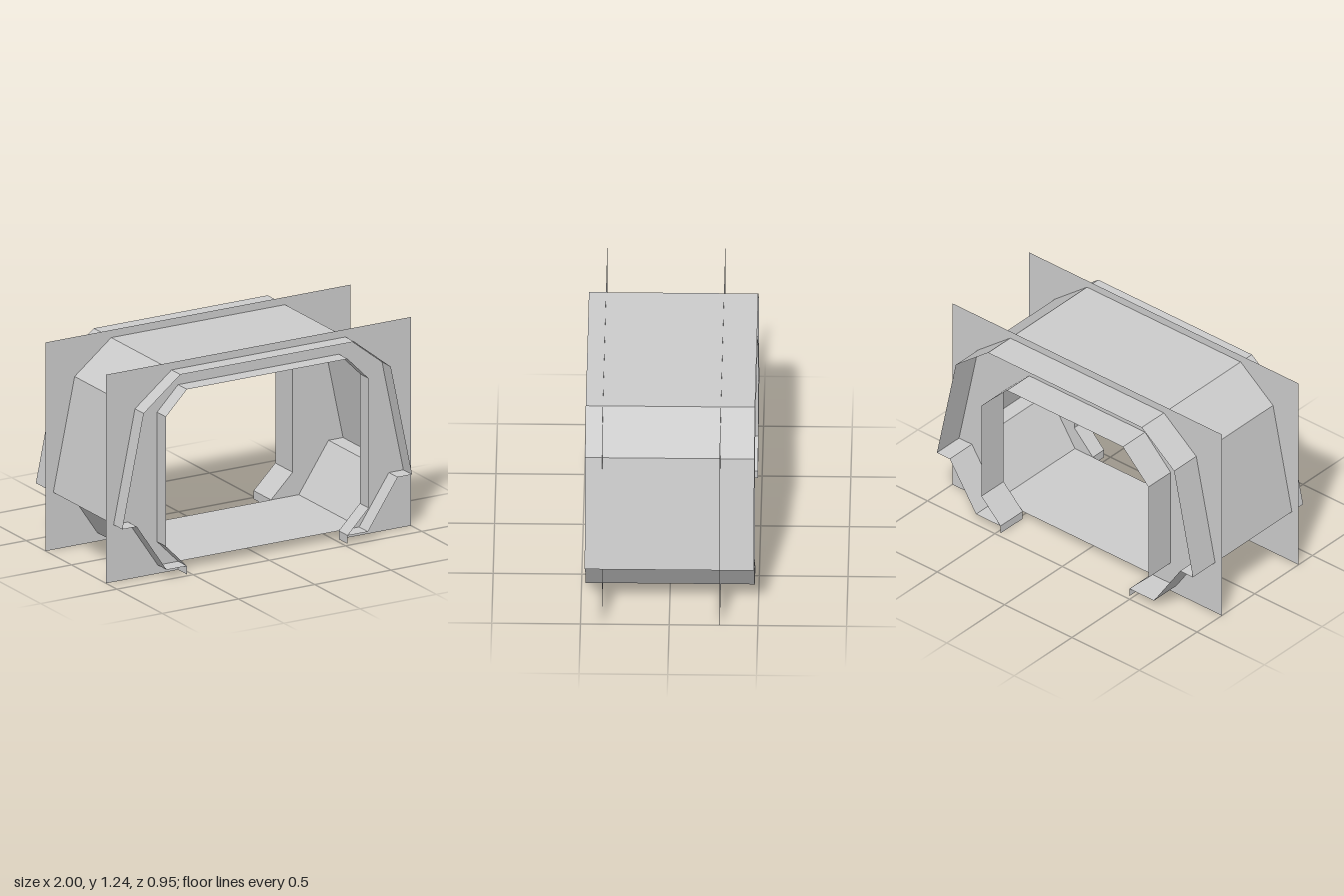
import * as THREE from 'three';

const material = new THREE.MeshStandardMaterial({ color: 0xcccccc, flatShading: true, side: THREE.DoubleSide });

// Mirror a right-hand half profile (listed bottom to top) into a full left-to-right arch
const arch = (half) => [...half.map(([x, y]) => [-x, y]), ...[...half].reverse()];

// Thin wall following an XY path between two depths
function wall(name, path, z0, z1, closed = false) {
  const pos = [];
  const n = closed ? path.length : path.length - 1;
  for (let i = 0; i < n; i++) {
    const [ax, ay] = path[i];
    const [bx, by] = path[(i + 1) % path.length];
    pos.push(ax, ay, z0, ax, ay, z1, bx, by, z1, ax, ay, z0, bx, by, z1, bx, by, z0);
  }
  const geo = new THREE.BufferGeometry();
  geo.setAttribute('position', new THREE.Float32BufferAttribute(pos, 3));
  geo.computeVertexNormals();
  const mesh = new THREE.Mesh(geo, material);
  mesh.name = name;
  return mesh;
}

// Flat rectangular bulkhead with an open-bottomed doorway
function bulkhead(name, doorway, z) {
  const outline = [[-1, 0], ...doorway, [1, 0], [1, 1.24], [-1, 1.24]];
  const shape = new THREE.Shape(outline.map(([x, y]) => new THREE.Vector2(x, y)));
  const mesh = new THREE.Mesh(new THREE.ShapeGeometry(shape), material);
  mesh.name = name;
  mesh.position.z = z;
  return mesh;
}

export function createModel() {
  const group = new THREE.Group();
  group.name = 'corridorSection';

  // Half profiles of the hull and the two doorways
  const hull = [[0.66, 0.05], [0.855, 0.34], [0.95, 0.34], [0.81, 1.005], [0.57, 1.195]];
  const frontDoor = [[0.527, 0], [0.527, 0.05], [0.665, 0.19], [0.665, 0.96], [0.527, 1.1]];
  const backDoor = [[0.478, 0], [0.478, 0.05], [0.62, 0.19], [0.62, 0.81], [0.43, 1.0]];

  const frontZ = 0.38, backZ = -0.285, endZ = 0.477;

  // Closed room between the bulkheads, including its floor
  group.add(wall('room', arch(hull), backZ, frontZ, true));

  // Each end: bulkhead, outer collar, and door lining with small feet
  for (const [side, door, z, end] of [['front', frontDoor, frontZ, endZ], ['back', backDoor, backZ, -endZ]]) {
    group.add(bulkhead(side + 'Bulkhead', arch(door), z));
    group.add(wall(side + 'Collar', arch([door[1], ...hull]), z, end));
    group.add(wall(side + 'DoorLining', arch(door), z, end));
  }
  return group;
}
